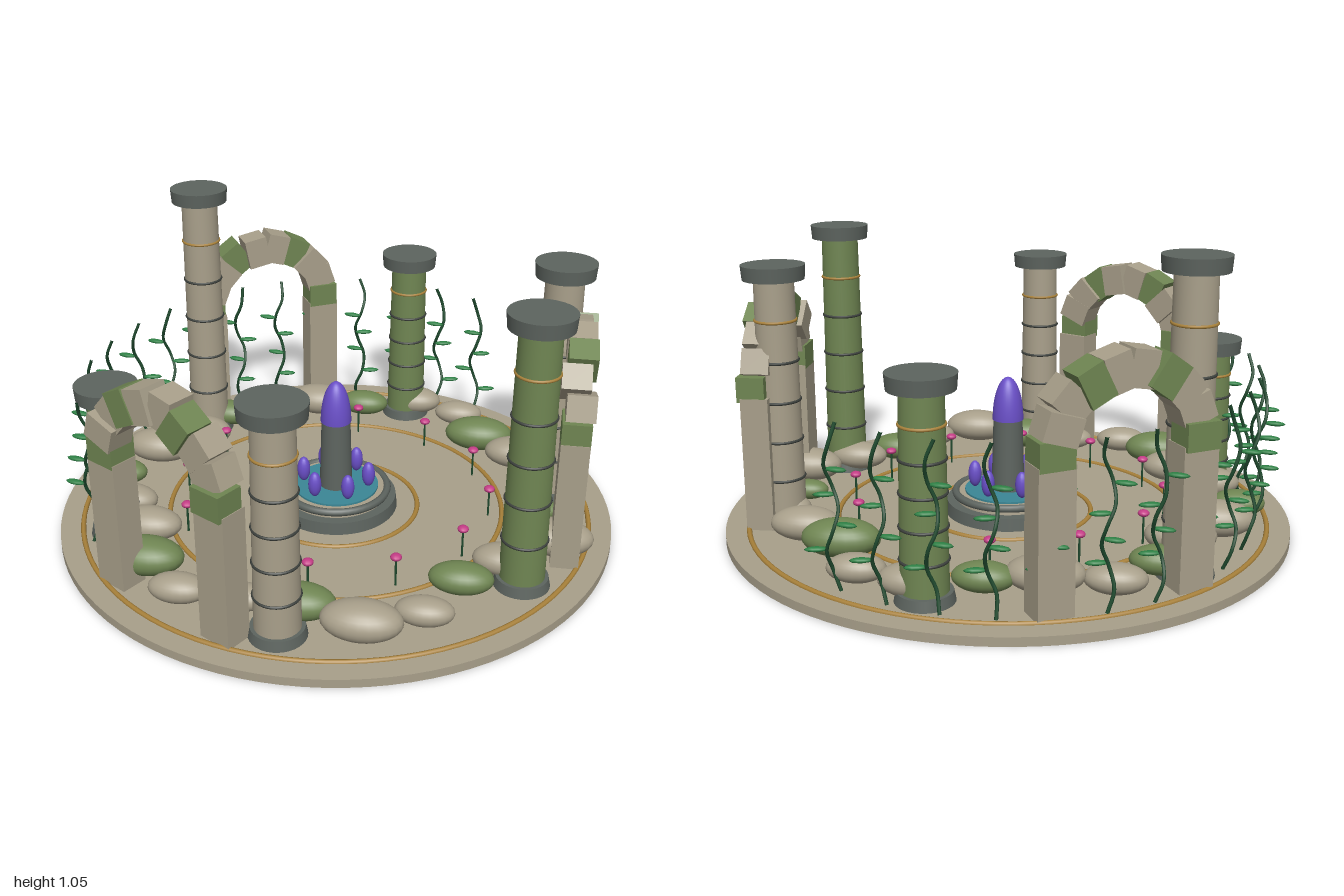
import * as THREE from 'three';

const mat = (color) => new THREE.MeshStandardMaterial({ color });
const M = {
  stone: mat(0xa89f8a), moss: mat(0x6f8552), slate: mat(0x5d645f), gold: mat(0xa8813a),
  iron: mat(0x3c403c), crystal: mat(0x6a4fc8), water: mat(0x3b8796), pink: mat(0xc43c86),
  stem: mat(0x1f4a2e), leaf: mat(0x2e8045),
};
const FLOOR = 0.03;
const rad = THREE.MathUtils.degToRad;

function add(parent, name, geometry, material, x = 0, y = 0, z = 0) {
  const mesh = new THREE.Mesh(geometry, material);
  mesh.name = name;
  mesh.position.set(x, y, z);
  parent.add(mesh);
  return mesh;
}

// Cylinder standing between two heights
function drum(parent, name, material, rTop, rBottom, y0, y1, x = 0, z = 0, sides = 32) {
  return add(parent, name, new THREE.CylinderGeometry(rTop, rBottom, y1 - y0, sides), material, x, (y0 + y1) / 2, z);
}

function hoop(parent, name, material, radius, tube, y, segments = 48) {
  const mesh = add(parent, name, new THREE.TorusGeometry(radius, tube, 8, segments), material, 0, y, 0);
  mesh.rotation.x = Math.PI / 2;
  return mesh;
}

function group(parent, name, x = 0, z = 0) {
  const g = new THREE.Group();
  g.name = name;
  g.position.set(x, 0, z);
  parent.add(g);
  return g;
}

// Column with base, cap and five bands
function column(parent, x, z, height, material) {
  const g = group(parent, 'column', x, z);
  const top = height - 0.05;
  drum(g, 'columnBase', M.slate, 0.088, 0.095, FLOOR, 0.065);
  drum(g, 'columnShaft', material, 0.068, 0.076, 0.06, top);
  drum(g, 'columnCap', M.slate, 0.108, 0.104, top, height);
  for (let i = 1; i <= 5; i++) {
    const t = i / 6;
    hoop(g, 'columnBand', i === 5 ? M.gold : M.iron, 0.076 - 0.008 * t, 0.005, 0.06 + (top - 0.06) * t, 32);
  }
}

// Two pillars carrying a half ring of uneven stones
function arch(parent, degrees) {
  const a = rad(degrees);
  const g = group(parent, 'arch', 0.83 * Math.cos(a), 0.83 * Math.sin(a));
  g.rotation.y = -a;
  for (const side of [-1, 1]) {
    add(g, 'archPillar', new THREE.BoxGeometry(0.095, 0.47, 0.12), M.stone, 0, 0.265, side * 0.238);
  }
  const count = 10;
  for (let i = 0; i < count; i++) {
    const t = (i / (count - 1)) * Math.PI;
    const block = add(g, 'archStone', new THREE.BoxGeometry(0.096, 0.088, 0.115), i % 3 ? M.stone : M.moss,
      0.012 * Math.sin(i * 2.3), 0.53 + 0.225 * Math.sin(t), 0.238 * Math.cos(t));
    block.rotation.x = -t + 0.12 * Math.sin(i * 1.9) * Math.sin(t);
  }
}

// Wavy stem with leaves alternating to both sides
function vine(parent, angle, phase) {
  const g = group(parent, 'vine', 0.88 * Math.cos(angle), 0.88 * Math.sin(angle));
  const points = [];
  for (let i = 0; i <= 8; i++) {
    const s = i * 1.5 + phase;
    points.push(new THREE.Vector3(0.02 * Math.sin(s), FLOOR + i * 0.068, 0.02 * Math.cos(s)));
  }
  const curve = new THREE.CatmullRomCurve3(points);
  add(g, 'vineStem', new THREE.TubeGeometry(curve, 32, 0.006, 6), M.stem);
  for (let i = 0; i < 4; i++) {
    const p = curve.getPoint(0.26 + i * 0.155);
    const side = i % 2 ? -1 : 1;
    const leaf = add(g, 'vineLeaf', new THREE.SphereGeometry(1, 10, 6), M.leaf, p.x + side * 0.034, p.y, p.z);
    leaf.scale.set(0.036, 0.008, 0.014);
    leaf.rotation.y = side * 0.2;
  }
}

export function createModel() {
  const model = new THREE.Group();
  model.name = 'stoneCircleGarden';

  // Round floor with inlaid rings
  drum(model, 'floor', M.stone, 1, 1, 0, FLOOR, 0, 0, 96);
  for (const r of [0.92, 0.61, 0.3]) hoop(model, 'floorRing', M.gold, r, 0.009, FLOOR, 96);

  // Fountain
  const fountain = group(model, 'fountain');
  drum(fountain, 'basinStep', M.slate, 0.22, 0.225, FLOOR, 0.075, 0, 0, 48);
  drum(fountain, 'basinWall', M.stone, 0.18, 0.185, 0.07, 0.105, 0, 0, 48);
  hoop(fountain, 'basinRim', M.slate, 0.188, 0.014, 0.1);
  drum(fountain, 'water', M.water, 0.155, 0.155, 0.1, 0.112, 0, 0, 48);
  drum(fountain, 'fountainPost', M.slate, 0.052, 0.06, 0.1, 0.37);
  const dome = add(fountain, 'fountainCrystal',
    new THREE.SphereGeometry(0.055, 32, 16, 0, Math.PI * 2, 0, Math.PI / 2), M.crystal, 0, 0.37, 0);
  dome.scale.y = 2.8;
  for (let i = 0; i < 6; i++) {
    const a = i * Math.PI / 3;
    const c = add(fountain, 'smallCrystal', new THREE.SphereGeometry(0.024, 16, 12), M.crystal,
      0.12 * Math.cos(a), 0.16, 0.12 * Math.sin(a));
    c.scale.y = 2;
  }

  // Columns: x, z, height, material
  [
    [0.17, -0.78, 0.74, M.moss], [-0.615, -0.51, 1.05, M.stone], [0.77, -0.2, 0.945, M.stone],
    [-0.73, 0.32, 0.61, M.moss], [0.69, 0.405, 1.0, M.moss], [-0.05, 0.8, 0.84, M.stone],
  ].forEach((c) => column(model, ...c));

  for (const degrees of [0, 120, 240]) arch(model, degrees);

  // Boulders every 15 degrees: distance from the centre and half length
  const distance = [0.74, 0.825, 0.73, 0.7, 0.79, 0.81, 0.71, 0.725, 0.8, 0.78, 0.7, 0.757,
    0.82, 0.757, 0.7, 0.76, 0.8, 0.725, 0.72, 0.8, 0.8, 0.7, 0.746, 0.8];
  const size = [0.075, 0.13, 0.11, 0.108, 0.096, 0.132, 0.12, 0.09, 0.1, 0.132, 0.12, 0.11,
    0.096, 0.13, 0.12, 0.1, 0.1, 0.125, 0.1, 0.11, 0.096, 0.132, 0.12, 0.1];
  distance.forEach((d, i) => {
    const a = rad(i * 15);
    const s = size[i];
    const rock = add(model, 'boulder', new THREE.SphereGeometry(1, 24, 16), i % 3 ? M.stone : M.moss,
      d * Math.cos(a), 0.045 + s * 0.42, d * Math.sin(a));
    rock.scale.set(s, s * 0.48, s * 0.61);
  });

  // Flowers around the inner ring
  for (let i = 0; i < 12; i++) {
    const a = i * Math.PI / 6;
    const g = group(model, 'flower', 0.56 * Math.cos(a), 0.56 * Math.sin(a));
    drum(g, 'flowerStem', M.stem, 0.004, 0.004, FLOOR, 0.135, 0, 0, 6);
    add(g, 'flowerHead', new THREE.SphereGeometry(0.02, 12, 8), M.pink, 0, 0.14, 0).scale.y = 0.6;
  }

  // Vines along the back left edge
  for (let i = 0; i < 14; i++) vine(model, rad(154.5 + i * 11.27), i * 0.4);

  return model;
}
